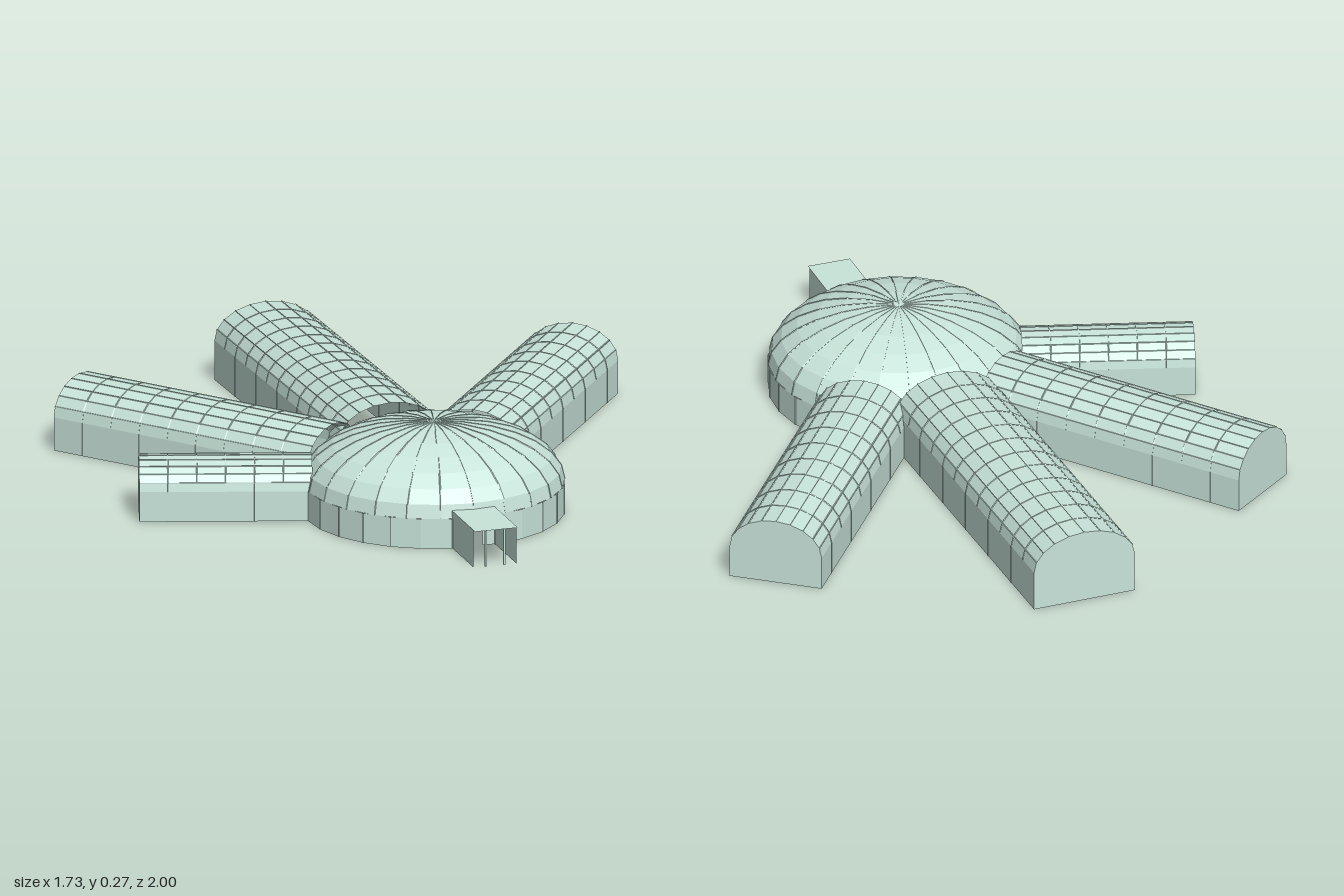
import * as THREE from 'three';
import { mergeGeometries } from 'three/addons/utils/BufferGeometryUtils.js';

const paleGreen = new THREE.MeshStandardMaterial({ color: 0xc8e4da, flatShading: true, side: THREE.DoubleSide });
paleGreen.name = 'paleGreen';

const CENTRE_Z = 0.415, RADIUS = 0.38, WALL = 0.09, RISE = 0.18, SIDES = 24;

// near = where the tunnel meets the dome, far = its closed end (x, z)
const TUNNELS = [
  { name: 'backTunnel', near: [-0.018, 0.06], far: [-0.052, -0.995], width: 0.315, spring: 0.12, height: 0.222, bays: 12 },
  { name: 'leftTunnel', near: [0.212, 0.133], far: [0.75, -0.585], width: 0.278, spring: 0.1, height: 0.2, bays: 9 },
  { name: 'rightTunnel', near: [-0.217, 0.138], far: [-0.7625, -0.56], width: 0.262, spring: 0.1, height: 0.2, bays: 9 },
  { name: 'shortTunnel', near: [-0.338, 0.312], far: [-0.8175, 0.165], width: 0.2, spring: 0.09, height: 0.17, bays: 6 },
];

function add(group, name, geometry) {
  const mesh = new THREE.Mesh(geometry, paleGreen);
  mesh.name = name;
  group.add(mesh);
  return mesh;
}

// thin bar between two points
function bar(a, b, size = 0.003) {
  const dir = b.clone().sub(a);
  const g = new THREE.BoxGeometry(size, size, dir.length());
  g.applyQuaternion(new THREE.Quaternion().setFromUnitVectors(new THREE.Vector3(0, 0, 1), dir.normalize()));
  const mid = a.clone().add(b).multiplyScalar(0.5);
  return g.translate(mid.x, mid.y, mid.z);
}

// upright walls with an elliptical vault
function archProfile(width, spring, height, steps = 10) {
  const points = [new THREE.Vector2(-width / 2, 0)];
  for (let i = 0; i <= steps; i++) {
    const a = Math.PI * (1 - i / steps);
    points.push(new THREE.Vector2(Math.cos(a) * width / 2, spring + Math.sin(a) * (height - spring)));
  }
  points.push(new THREE.Vector2(width / 2, 0));
  return points;
}

function makeTunnel({ name, near, far, width, spring, height, bays }) {
  const group = new THREE.Group();
  group.name = name;
  const dx = far[0] - near[0], dz = far[1] - near[1], length = Math.hypot(dx, dz);
  const profile = archProfile(width, spring, height);
  const n = profile.length;

  // open vault, swept along z
  const vault = new THREE.PlaneGeometry(1, 1, n - 1, 1);
  const pos = vault.attributes.position;
  for (let i = 0; i < pos.count; i++) {
    const p = profile[i % n];
    pos.setXYZ(i, p.x, p.y, i < n ? 0 : length);
  }
  vault.computeVertexNormals();
  add(group, 'vault', vault);
  add(group, 'endWall', new THREE.ShapeGeometry(new THREE.Shape(profile))).position.z = length;

  // seams: hoops over the roof, every second one down the walls, and long bars
  const seams = [];
  const at = (i, z) => new THREE.Vector3(profile[i].x, profile[i].y, z);
  for (let k = 1; k < bays; k++) {
    const z = length * k / bays, skip = k % 2;
    for (let i = skip; i < n - 1 - skip; i++) seams.push(bar(at(i, z), at(i + 1, z)));
  }
  for (let i = 2; i < n - 2; i++) seams.push(bar(at(i, 0), at(i, length)));
  add(group, 'seams', mergeGeometries(seams));

  group.position.set(near[0], 0, near[1]);
  group.rotation.y = Math.atan2(dx, dz);
  return group;
}

function makeDome() {
  const group = new THREE.Group();
  group.name = 'dome';
  const profile = [];
  for (let i = 0; i <= 7; i++) {
    const a = (i / 7) * Math.PI / 2;
    profile.push(new THREE.Vector2(RADIUS * Math.cos(a), WALL + RISE * Math.sin(a)));
  }
  profile[7].x = 0;
  add(group, 'domeRoof', new THREE.LatheGeometry(profile, SIDES));

  // ring wall, interrupted where the tunnels and the porch open into it
  const openings = TUNNELS.map(t => ({
    angle: Math.atan2(t.near[0], t.near[1] - CENTRE_Z),
    half: Math.asin(t.width / 2 / RADIUS),
  }));
  openings.push({ angle: 0, half: Math.asin(0.065 / RADIUS) });
  openings.forEach(o => { o.angle = (o.angle + Math.PI * 2) % (Math.PI * 2); });
  openings.sort((a, b) => a.angle - b.angle);
  const seams = [];
  openings.forEach((o, i) => {
    const next = openings[(i + 1) % openings.length];
    const start = o.angle + o.half;
    const end = next.angle - next.half + (i === openings.length - 1 ? Math.PI * 2 : 0);
    const arc = end - start;
    if (arc <= 0.02) return;
    const sides = Math.ceil(arc / (Math.PI * 2 / SIDES));
    add(group, 'ringWall', new THREE.CylinderGeometry(RADIUS, RADIUS, WALL, sides, 1, true, start, arc)).position.y = WALL / 2;
    for (let k = 0; k <= sides; k++) {
      const a = start + arc * k / sides, x = Math.sin(a) * RADIUS, z = Math.cos(a) * RADIUS;
      seams.push(bar(new THREE.Vector3(x, 0, z), new THREE.Vector3(x, WALL, z)));
    }
  });

  // meridian seams
  for (let k = 0; k < SIDES; k++) {
    const a = k / SIDES * Math.PI * 2;
    const at = p => new THREE.Vector3(Math.sin(a) * p.x, p.y, Math.cos(a) * p.x);
    for (let i = 0; i < 7; i++) seams.push(bar(at(profile[i]), at(profile[i + 1])));
  }
  add(group, 'domeSeams', mergeGeometries(seams));
  group.position.z = CENTRE_Z;
  return group;
}

function makePorch() {
  const group = new THREE.Group();
  group.name = 'porch';
  const half = 0.065, height = 0.113, back = 0.765, front = 1, door = 0.028, lintel = 0.07;
  const roof = add(group, 'porchRoof', new THREE.PlaneGeometry(half * 2, front - back).rotateX(-Math.PI / 2));
  roof.position.set(0, height, (front + back) / 2);
  const wallBack = 0.785, wallFront = 0.985;
  for (const side of [-1, 1]) {
    const wall = add(group, 'porchWall', new THREE.PlaneGeometry(wallFront - wallBack, height).rotateY(side * Math.PI / 2));
    wall.position.set(side * half, height / 2, (wallFront + wallBack) / 2);
    const post = add(group, 'porchPost', new THREE.BoxGeometry(0.005, height, 0.005));
    post.position.set(side * door, height / 2, wallFront);
  }
  // inner wall around the doorway
  const frame = new THREE.Shape([[-half, 0], [-door, 0], [-door, lintel], [door, lintel], [door, 0],
    [half, 0], [half, WALL], [-half, WALL]].map(p => new THREE.Vector2(...p)));
  add(group, 'doorWall', new THREE.ShapeGeometry(frame)).position.z = wallBack;
  return group;
}

export function createModel() {
  const model = new THREE.Group();
  model.name = 'domeWithTunnels';
  model.add(makeDome(), makePorch(), ...TUNNELS.map(makeTunnel));
  return model;
}
